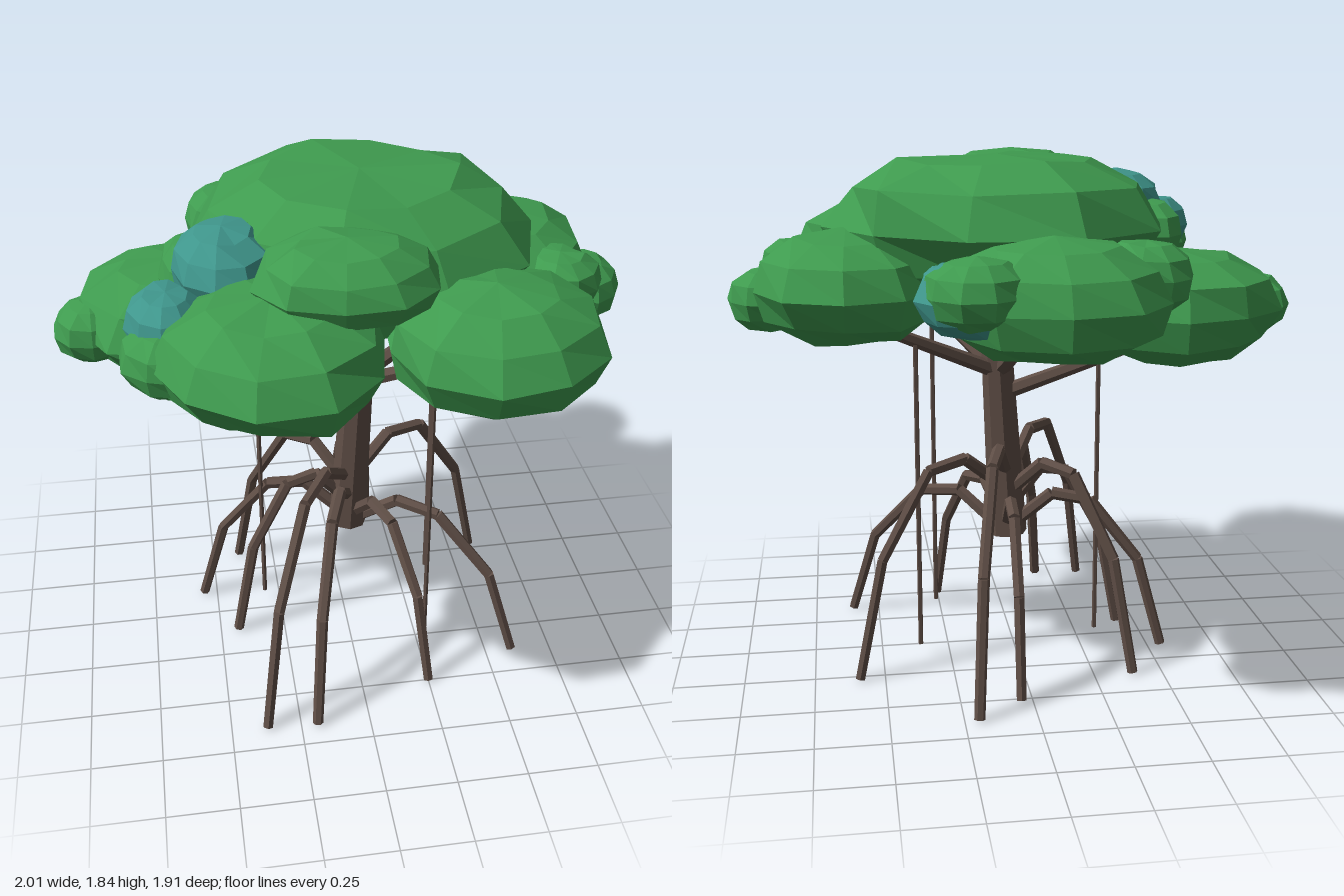
import * as THREE from 'three';

const mat = (name, color) => {
  const m = new THREE.MeshStandardMaterial({ color });
  m.name = name;
  return m;
};

// flat facets through split normals
function facet(geometry) {
  const g = geometry.index ? geometry.toNonIndexed() : geometry;
  g.computeVertexNormals();
  return g;
}

// repeatable noise in -1..1 from a point
function noise(x, y, z) {
  const s = Math.sin(x * 127.1 + y * 311.7 + z * 74.7) * 43758.5453;
  return (s - Math.floor(s)) * 2 - 1;
}

// lumpy flattened low-poly foliage clump; a lower squareness is boxier
function clump([x, y, z, rx, ry, rz, squareness = 0.9], seed) {
  const g = new THREE.SphereGeometry(1, 10, 6);
  g.rotateY(seed * 1.3);
  const p = g.attributes.position;
  for (let i = 0; i < p.count; i++) {
    const a = [p.getX(i), p.getY(i), p.getZ(i)].map(v => Math.round(v * 100) / 100 + 0);
    const h = Math.hypot(a[0], a[2]);
    const widen = h > 0.01 ? Math.pow(h, squareness) / h : 1;
    const k = 1.01 + 0.06 * noise(a[0] + seed, a[1], a[2]);
    const ny = Math.sign(a[1]) * Math.pow(Math.abs(a[1]), squareness + 0.06);
    p.setXYZ(i, a[0] * widen * k * rx, ny * k * ry, a[2] * widen * k * rz);
  }
  g.translate(x, y, z);
  return facet(g);
}

// tapered stick between two points
function stick(a, b, ra, rb, sides = 6) {
  const from = new THREE.Vector3(...a), to = new THREE.Vector3(...b);
  const dir = to.clone().sub(from);
  const g = new THREE.CylinderGeometry(rb, ra, dir.length(), sides);
  g.applyQuaternion(new THREE.Quaternion().setFromUnitVectors(
    new THREE.Vector3(0, 1, 0), dir.clone().normalize()));
  const c = from.add(to).multiplyScalar(0.5);
  g.translate(c.x, c.y, c.z);
  return facet(g);
}

export function createModel() {
  const group = new THREE.Group();
  group.name = 'mangroveTree';
  const bark = mat('bark', 0x5f4e46);
  const leaf = mat('leafGreen', 0x3f9b4f);
  const teal = mat('leafTeal', 0x3f968c);
  const add = (name, g, m, parent = group) => {
    const mesh = new THREE.Mesh(g, m);
    mesh.name = name;
    parent.add(mesh);
  };

  add('trunk', stick([0.015, 0.43, 0.025], [0.057, 1.18, 0.025], 0.072, 0.056, 8), bark);

  // branches: start height, tip
  [
    [1.05, [-0.24, 1.35, 0.4]],
    [1.04, [0.34, 1.32, 0.38]],
    [0.97, [-0.45, 1.16, -0.07]],
    [1.05, [0.47, 1.25, -0.14]],
    [1.06, [0, 1.27, -0.42]],
  ].forEach(([h, tip]) => add('branch', stick([0.04, h, 0.02], tip, 0.03, 0.021), bark));

  // hanging aerial roots
  [[-0.31, 1.12, -0.05], [0.27, 1.26, 0.31], [0.36, 1.21, -0.11]].forEach(([x, y, z]) =>
    add('hangingRoot', stick([x, 0.05, z], [x, y, z], 0.009, 0.009, 5), bark));

  // arching stilt roots: foot x, foot z, arch height
  [
    [-0.19, 0.66, 0.69], [-0.37, 0.65, 0.78], [0.25, 0.5, 0.6], [0.6, 0.38, 0.57],
    [0.59, -0.28, 0.75], [0.2, -0.64, 0.81], [0.04, -0.52, 0.6], [-0.39, -0.36, 0.73],
    [-0.55, -0.13, 0.59], [-0.43, 0.11, 0.67],
  ].forEach(([fx, fz, h]) => {
    const root = new THREE.Group();
    root.name = 'stiltRoot';
    const at = (t, y) => [0.02 + (fx - 0.02) * t, y, 0.02 + (fz - 0.02) * t];
    const path = [at(0.03, h - 0.13), at(0.29, h), at(0.53, h - 0.02),
      at(0.84, h * 0.55 + 0.02), at(1, 0.005)];
    for (let i = 0; i < 4; i++) {
      add('rootSegment', stick(path[i], path[i + 1], 0.025 - i * 0.0015, 0.0235 - i * 0.0015), bark, root);
    }
    group.add(root);
  });

  // foliage: centre, radii, squareness
  [
    [0.06, 1.6, -0.03, 0.58, 0.25, 0.55, 0.8],
    [-0.3, 1.5, 0.56, 0.36, 0.19, 0.38],
    [0.41, 1.46, 0.5, 0.36, 0.19, 0.36],
    [-0.06, 1.7, 0.49, 0.29, 0.13, 0.25],
    [-0.56, 1.31, -0.13, 0.37, 0.2, 0.36],
    [0.59, 1.41, -0.17, 0.32, 0.19, 0.39],
    [-0.05, 1.42, -0.6, 0.37, 0.19, 0.36],
    [-0.87, 1.3, -0.05, 0.13, 0.11, 0.15],
    [-0.57, 1.25, 0.12, 0.2, 0.13, 0.15],
    [-0.61, 1.47, 0.49, 0.16, 0.11, 0.17],
    [0.87, 1.35, -0.03, 0.13, 0.11, 0.16],
    [0.74, 1.44, 0.1, 0.15, 0.11, 0.15],
    [0.215, 1.47, -0.78, 0.165, 0.11, 0.165],
    [-0.36, 1.48, -0.53, 0.16, 0.12, 0.17],
    [-0.5, 1.55, 0.08, 0.13, 0.12, 0.2],
  ].forEach((c, i) => add('foliage', clump(c, i + 1), leaf));

  [
    [-0.42, 1.645, 0.21, 0.17, 0.125, 0.22],
    [-0.61, 1.545, 0.4, 0.13, 0.11, 0.17],
    [0.235, 1.455, -0.755, 0.165, 0.12, 0.145],
    [-0.07, 1.38, -0.01, 0.17, 0.06, 0.1],
    [0.28, 1.45, -0.47, 0.08, 0.07, 0.08],
  ].forEach((c, i) => add('tealFoliage', clump(c, i + 31), teal));

  return group;
}
